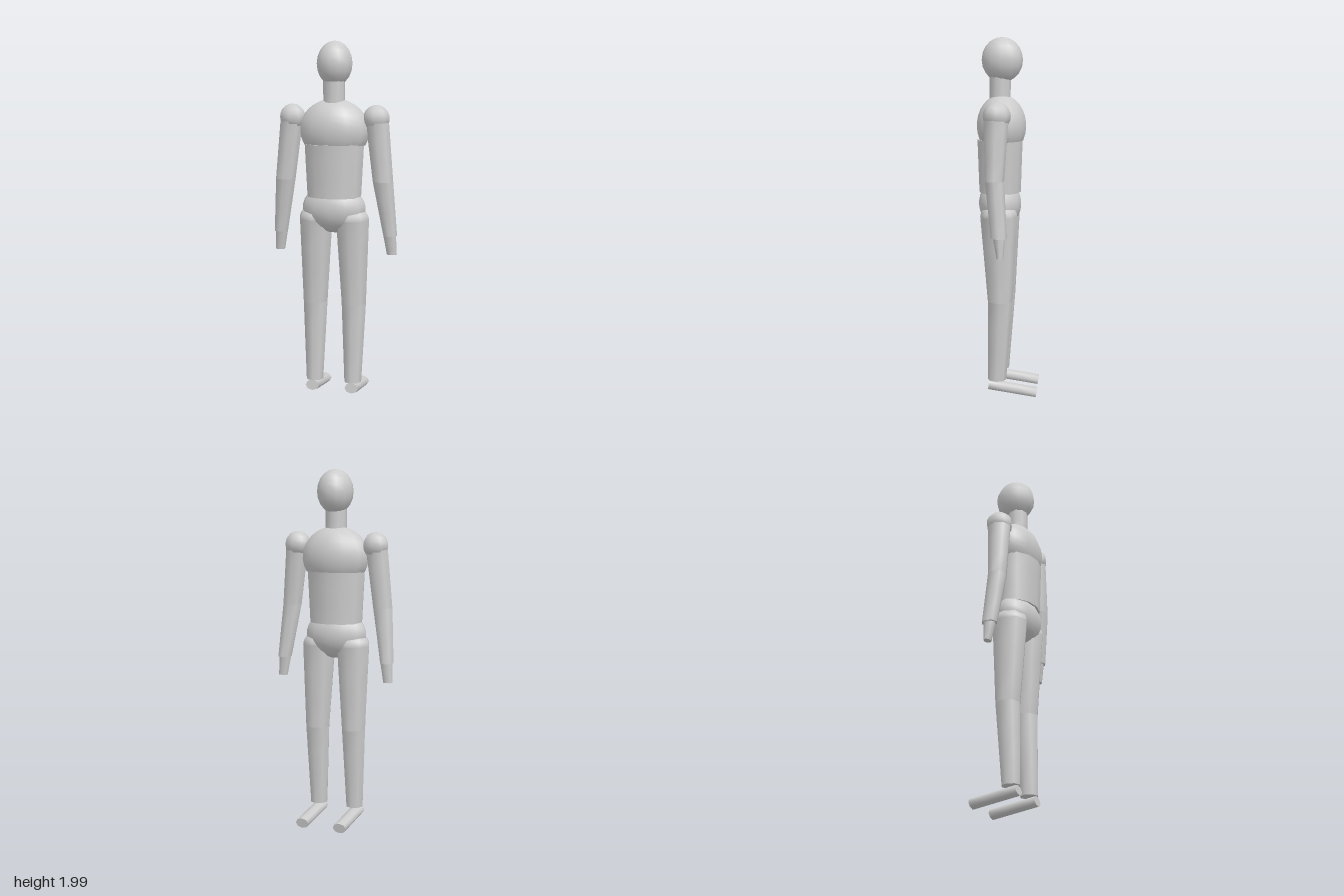
import * as THREE from 'three';
import { mergeVertices, mergeGeometries } from 'three/addons/utils/BufferGeometryUtils.js';

const grey = new THREE.MeshStandardMaterial({ color: 0xcccccc });
grey.name = 'mannequinGrey';

function part(parent, name, geometry) {
  const mesh = new THREE.Mesh(geometry, grey);
  mesh.name = name;
  parent.add(mesh);
  return mesh;
}

// Tapered limb between two level ellipses, each [x, y, z, rx, rz]
function limb(top, bottom, sides = 8) {
  let g = new THREE.CylinderGeometry(1, 1, 1, sides, 3);
  g.deleteAttribute('uv');
  g = mergeVertices(g);
  const p = g.attributes.position;
  for (let i = 0; i < p.count; i++) {
    const t = p.getY(i) + 0.5;
    const [x, y, z, rx, rz] = bottom.map((b, k) => b + (top[k] - b) * t);
    p.setXYZ(i, x + p.getX(i) * rx, y, z + p.getZ(i) * rz);
  }
  g.computeVertexNormals();
  return g;
}

// Ellipsoid, optionally cut flat at heights from lo to hi (-1 to 1 of its radius)
function ellipsoid([x, y, z], [rx, ry, rz], sides = 12, lo = -1, hi = 1) {
  const start = Math.acos(hi), end = Math.acos(lo);
  const pieces = [new THREE.SphereGeometry(1, sides, 10, 0, Math.PI * 2, start, end - start)];
  if (lo > -1) {
    pieces.push(new THREE.CircleGeometry(Math.sin(end), sides).rotateX(Math.PI / 2).translate(0, lo, 0));
  }
  if (hi < 1) {
    pieces.push(new THREE.CircleGeometry(Math.sin(start), sides).rotateX(-Math.PI / 2).translate(0, hi, 0));
  }
  return mergeGeometries(pieces).scale(rx, ry, rz).translate(x, y, z);
}

export function createModel() {
  const model = new THREE.Group();
  model.name = 'mannequin';

  // Head and torso
  part(model, 'head', ellipsoid([0, 1.878, 0.03], [0.098, 0.122, 0.113]));
  part(model, 'neck', limb([0, 1.82, 0.042, 0.059, 0.058], [0, 1.66, 0.042, 0.059, 0.058], 10));
  part(model, 'chest', ellipsoid([0, 1.52, 0.035], [0.197, 0.17, 0.136], 12, -0.47));
  part(model, 'abdomen', limb([0, 1.445, 0.043, 0.168, 0.125], [0, 1.155, 0.043, 0.153, 0.115], 12));
  part(model, 'pelvis', ellipsoid([0, 1.09, 0.043], [0.18, 0.135, 0.118], 12, -1, 0.52));

  for (const [side, s] of [['left', 1], ['right', -1]]) {
    const at = ([x, ...rest]) => [s * x, ...rest];

    // Arm
    const arm = new THREE.Group();
    arm.name = side + 'Arm';
    model.add(arm);
    const elbow = at([0.276, 1.247, 0.05, 0.057, 0.051]);
    const wrist = at([0.313, 0.947, 0.024, 0.039, 0.043]);
    part(arm, 'shoulder', ellipsoid(at([0.236, 1.587, 0.041]), [0.073, 0.073, 0.075], 8));
    part(arm, 'upperArm', limb(at([0.242, 1.565, 0.044, 0.064, 0.066]), elbow));
    part(arm, 'forearm', limb(elbow, wrist));
    part(arm, 'hand', limb(at([0.31, 0.95, 0.024, 0.036, 0.033]), at([0.322, 0.84, 0.018, 0.028, 0.019])));

    // Leg
    const leg = new THREE.Group();
    leg.name = side + 'Leg';
    model.add(leg);
    const hip = at([0.104, 1.03, 0.042, 0.094, 0.102]);
    const knee = at([0.111, 0.557, 0.034, 0.07, 0.069]);
    part(leg, 'hipJoint', ellipsoid(at([0.104, 1.03, 0.042]), [0.094, 0.075, 0.102], 8, 0));
    part(leg, 'thigh', limb(hip, knee));
    part(leg, 'shin', limb(knee, at([0.111, 0.106, 0.052, 0.049, 0.051])));

    // Foot, an oval bar pointing to -z with the toe lower than the heel
    const foot = part(leg, 'foot', limb([0, 0.135, 0, 0.039, 0.029], [0, -0.135, 0, 0.039, 0.029]));
    foot.rotation.x = Math.PI / 2 - 0.15;
    foot.position.set(s * 0.114, 0.057, -0.036);
    foot.rotation.x = Math.PI / 2 - 0.15;
  }
  return model;
}
